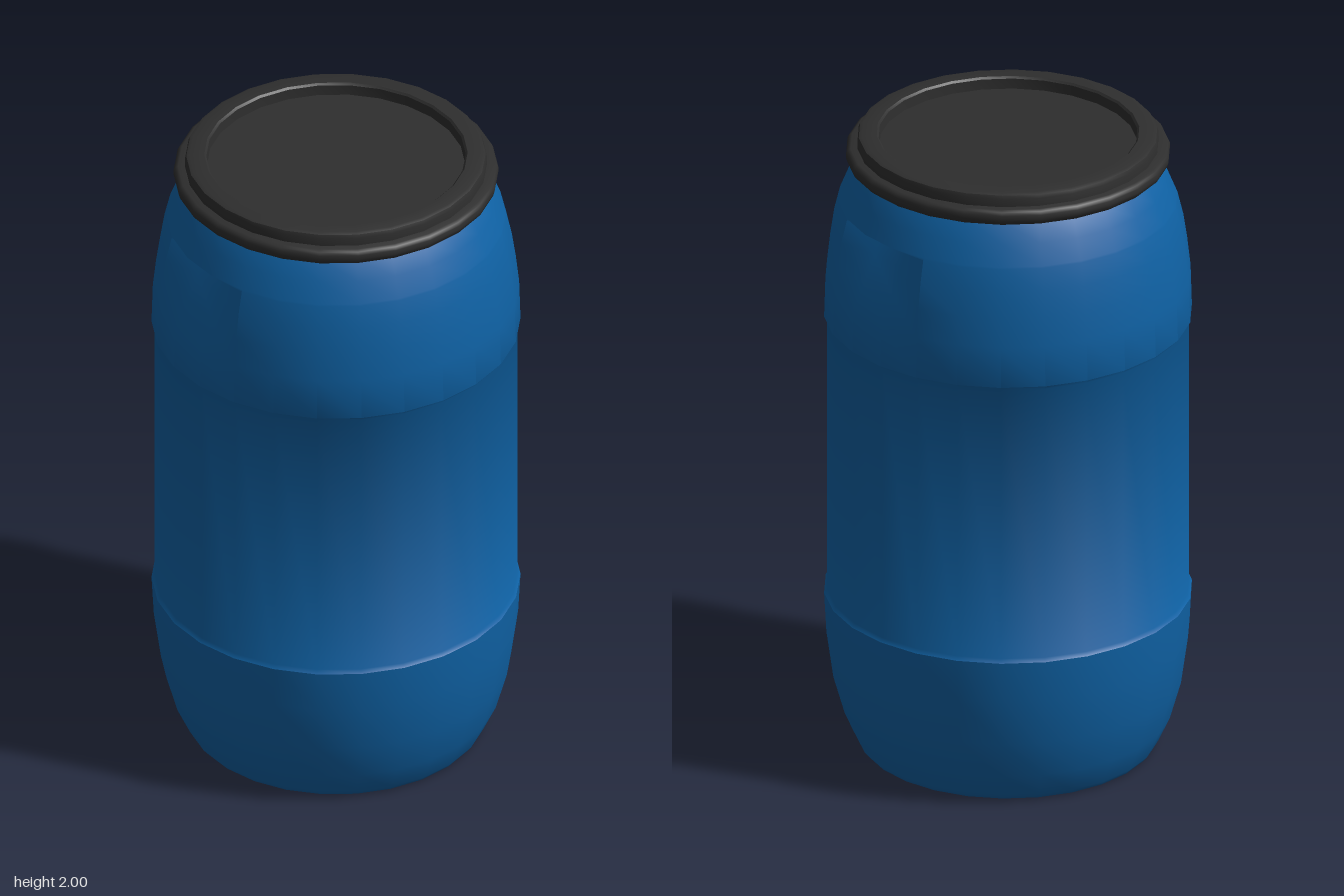
import * as THREE from 'three';
import { toCreasedNormals } from 'three/addons/utils/BufferGeometryUtils.js';

const SIDES = 26;
const STEP = (Math.PI * 2) / SIDES;

// Lathe with a corner on the x axis, so that a flat facet faces front and back
function turned(profile) {
  const points = profile.map(([r, y]) => new THREE.Vector2(r, y));
  return new THREE.LatheGeometry(points, SIDES, Math.PI / 2);
}

// Press a hand grip into the front and back: a sloping floor under a sharp lip
function pressGrips(geometry) {
  const bottom = 1.54, top = 1.78;
  const pos = geometry.attributes.position;
  for (let i = 0; i < pos.count; i++) {
    const x = pos.getX(i), y = pos.getY(i), z = pos.getZ(i);
    const angle = Math.abs(Math.atan2(x, Math.abs(z)));
    if (angle > STEP || y < bottom - 0.001 || y > top + 0.001) continue;
    const t = (y - bottom) / (top - bottom);
    pos.setZ(i, Math.sign(z) * THREE.MathUtils.lerp(0.544, 0.43, t));
  }
}

export function createModel() {
  const blue = new THREE.MeshStandardMaterial({ color: 0x0f62a5 });
  blue.name = 'blue plastic';
  const black = new THREE.MeshStandardMaterial({ color: 0x2e2e2e });
  black.name = 'black plastic';

  const model = new THREE.Group();
  model.name = 'barrel';

  // Body: hollowed base, rounded foot, slightly inset waist, rounded shoulder
  const body = turned([
    [0, 0.05], [0.31, 0.05], [0.345, 0.043], [0.375, 0.02], [0.4, 0.004], [0.425, 0],
    [0.441, 0.004], [0.452, 0.018], [0.49, 0.1], [0.524, 0.22], [0.545, 0.37], [0.552, 0.5],
    [0.543, 0.512], [0.543, 1.398], [0.552, 1.41],
    [0.548, 1.54], [0.538, 1.63], [0.526, 1.71], [0.509, 1.78], [0.507, 1.786],
    [0.481, 1.85], [0.452, 1.91], [0.44, 1.925],
  ]);
  pressGrips(body);
  const bodyMesh = new THREE.Mesh(toCreasedNormals(body, 0.68), blue);
  bodyMesh.name = 'body';
  model.add(bodyMesh);

  // Clamping ring around the mouth
  const ring = turned([
    [0.43, 1.912], [0.474, 1.912], [0.483, 1.92], [0.486, 1.932],
    [0.486, 1.945], [0.481, 1.955], [0.472, 1.96], [0.43, 1.96],
  ]);
  const ringMesh = new THREE.Mesh(toCreasedNormals(ring, 0.7), black);
  ringMesh.name = 'clampRing';
  model.add(ringMesh);

  // Lid with raised rim and sunken centre
  const lid = turned([
    [0.452, 1.95], [0.452, 1.985], [0.448, 1.996], [0.438, 2],
    [0.394, 2], [0.388, 1.994], [0.386, 1.962], [0, 1.962],
  ]);
  const lidMesh = new THREE.Mesh(toCreasedNormals(lid, 0.7), black);
  lidMesh.name = 'lid';
  model.add(lidMesh);

  return model;
}
